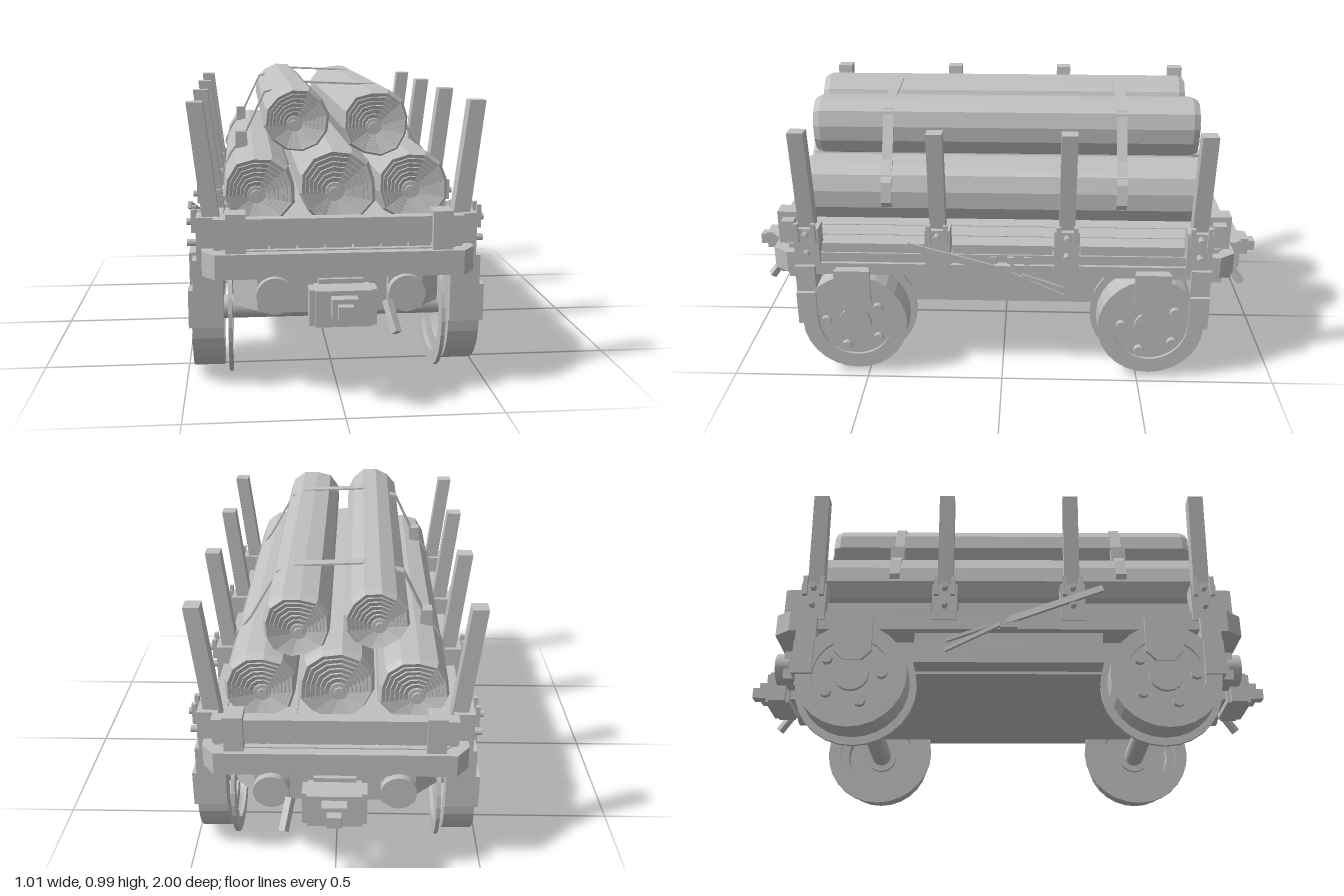
import * as THREE from 'three';

const grey = new THREE.MeshStandardMaterial({ color: 0xc0c0c0 });
grey.name = 'plain grey';

export function createModel() {
  const model = new THREE.Group();
  model.name = 'logWagon';

  const add = (name, geometry, x = 0, y = 0, z = 0) => {
    const m = new THREE.Mesh(geometry, grey);
    m.name = name;
    m.position.set(x, y, z);
    model.add(m);
    return m;
  };
  // box from its limits
  const box = (name, x0, x1, y0, y1, z0, z1) =>
    add(name, new THREE.BoxGeometry(Math.abs(x1 - x0), y1 - y0, Math.abs(z1 - z0)),
      (x0 + x1) / 2, (y0 + y1) / 2, (z0 + z1) / 2);
  // rod with its axis along x or z
  const rod = (name, axis, r, len, x, y, z, sides = 20) => {
    const g = new THREE.CylinderGeometry(r, r, len, sides);
    if (axis === 'x') g.rotateZ(Math.PI / 2); else g.rotateX(Math.PI / 2);
    return add(name, g, x, y, z);
  };
  // square bar between two points
  const bar = (name, a, b, w, d) => {
    const p = new THREE.Vector3(...a), q = new THREE.Vector3(...b);
    const m = add(name, new THREE.BoxGeometry(w, p.distanceTo(q), d));
    m.position.copy(p).lerp(q, 0.5);
    m.quaternion.setFromUnitVectors(new THREE.Vector3(0, 1, 0), q.sub(p).normalize());
    return m;
  };
  // rectangle with cut corners, extruded upward
  const slab = (name, hx, hz, cx, cz, y0, y1, hole) => {
    const s = new THREE.Shape([[hx, hz - cz], [hx - cx, hz], [cx - hx, hz], [-hx, hz - cz],
      [-hx, cz - hz], [cx - hx, -hz], [hx - cx, -hz], [hx, cz - hz]].map(p => new THREE.Vector2(...p)));
    if (hole) {
      const [a, b] = hole;
      s.holes.push(new THREE.Path([[a, b], [a, -b], [-a, -b], [-a, b]].map(p => new THREE.Vector2(...p))));
    }
    const g = new THREE.ExtrudeGeometry(s, { depth: y1 - y0, bevelEnabled: false });
    g.rotateX(-Math.PI / 2);
    return add(name, g, 0, y0, 0);
  };
  // ring around the x axis, closed section
  const ring = (name, rOut, rIn, x0, x1, y, z) => {
    const s = new THREE.Shape().absarc(0, 0, rOut, 0, Math.PI * 2, false);
    s.holes.push(new THREE.Path().absarc(0, 0, rIn, 0, Math.PI * 2, true));
    const g = new THREE.ExtrudeGeometry(s, { depth: Math.abs(x1 - x0), bevelEnabled: false, curveSegments: 14 });
    g.rotateY(Math.PI / 2);
    return add(name, g, Math.min(x0, x1), y, z);
  };

  // chassis
  slab('underframe', 0.34, 0.79, 0.1, 0.1, 0.275, 0.4);
  slab('bumperFrame', 0.437, 0.835, 0.042, 0.055, 0.4, 0.48, [0.33, 0.74]);
  for (let i = 0; i < 9; i++) {
    const x = -0.356 + i * 0.089;
    box('deckPlank', x - 0.042, x + 0.042, 0.47, 0.495, -0.78, 0.78);
  }
  slab('deckBase', 0.4, 0.8, 0.04, 0.04, 0.455, 0.484);

  for (const sx of [1, -1]) {
    box('sideSill', sx * 0.34, sx * 0.42, 0.285, 0.4, -0.335, 0.335);
    box('sideRail', sx * 0.42, sx * 0.45, 0.4, 0.445, -0.74, 0.74);
    for (const z of [-0.465, 0, 0.465]) {
      const h = z ? 0.185 : 0.18;
      box('sideBoard', sx * 0.375, sx * 0.43, 0.48, 0.515, z - h, z + h);
      box('sideLedge', sx * 0.34, sx * 0.375, 0.49, 0.505, z - h, z + h);
    }
    for (const z of [-0.09, -0.03, 0.03]) box('railClip', sx * 0.43, sx * 0.447, 0.44, 0.475, z - 0.012, z + 0.012);

    // stakes in bolted pockets
    for (const z of [-0.7, -0.23, 0.23, 0.7]) {
      box('stakePocket', sx * 0.385, sx * 0.455, 0.435, 0.58, z - 0.045, z + 0.045);
      const stake = new THREE.Shape([[0.37, 0.49], [0.425, 0.49], [0.477, 0.945], [0.425, 0.945]]
        .map(([x, y]) => new THREE.Vector2(sx * x, y)));
      add('stake', new THREE.ExtrudeGeometry(stake, { depth: 0.056, bevelEnabled: false }), 0, 0, z - 0.028);
      for (const y of [0.49, 0.56]) rod('pocketBolt', 'x', 0.012, 0.035, sx * 0.468, y, z, 6);
      for (const s of [-1, 1]) box('pocketLug', sx * 0.455, sx * 0.47, 0.53, 0.605, z + s * 0.03 - 0.008, z + s * 0.03 + 0.008);
    }

    // brake lever and link
    bar('brakeLever', [sx * 0.495, 0.54, 0.335], [sx * 0.46, 0.43, 0], 0.012, 0.025);
    bar('brakeLever', [sx * 0.46, 0.43, 0], [sx * 0.445, 0.32, -0.225], 0.012, 0.014);
    bar('brakeLink', [sx * 0.455, 0.41, -0.07], [sx * 0.45, 0.355, -0.22], 0.012, 0.012);
    box('leverBracket', sx * 0.42, sx * 0.465, 0.4, 0.45, -0.03, 0.03);

    // wheels with separate flange, tread and bolted web
    for (const sz of [1, -1]) {
      const z = sz * 0.54, y = 0.215;
      ring('wheelFlange', 0.215, 0.165, sx * 0.344, sx * 0.357, y, z);
      ring('wheelTread', 0.192, 0.135, sx * 0.372, sx * 0.475, y, z);
      rod('wheelWeb', 'x', 0.14, 0.045, sx * 0.442, y, z, 28);
      rod('wheelHub', 'x', 0.06, 0.075, sx * 0.442, y, z, 16);
      for (let i = 0; i < 5; i++) {
        const a = -Math.PI / 2 + 0.35 + i * Math.PI * 0.4;
        rod('wheelBolt', 'x', 0.02, 0.03, sx * 0.47, y + Math.sin(a) * 0.105, z + Math.cos(a) * 0.105, 8);
      }
      // axle hanger
      const hanger = new THREE.Shape([[-0.065, 0.43], [-0.065, 0.3], [-0.03, 0.265], [0.03, 0.265], [0.065, 0.3], [0.065, 0.43]]
        .map(p => new THREE.Vector2(...p)));
      const hg = new THREE.ExtrudeGeometry(hanger, { depth: 0.014, bevelEnabled: false });
      hg.rotateY(Math.PI / 2);
      add('axleHanger', hg, sx > 0 ? 0.472 : -0.486, 0, z);
      box('hangerTop', sx * 0.42, sx * 0.476, 0.4, 0.43, z - 0.06, z + 0.06);
      // guard ahead of the wheel
      box('wheelGuard', sx * 0.372, sx * 0.485, 0.215, 0.34, sz * 0.675, sz * 0.745);
      box('guardArm', sx * 0.372, sx * 0.47, 0.34, 0.44, sz * 0.675, sz * 0.745);
    }
  }
  for (const z of [-0.54, 0.54]) rod('axle', 'x', 0.04, 0.96, 0, 0.22, z, 16);

  // wagon ends
  for (const s of [1, -1]) {
    box('endBoard', -0.4, 0.4, 0.5, 0.585, s * 0.755, s * 0.8);
    for (const x of [-0.328, 0.328]) {
      box('endPost', x - 0.032, x + 0.032, 0.48, 0.605, s * 0.745, s * 0.822);
      const bx = Math.sign(x) * 0.208;
      box('bufferBlock', bx - 0.055, bx + 0.055, 0.29, 0.4, s * 0.78, s * 0.828);
      rod('buffer', 'z', 0.059, 0.05, bx, 0.35, s * 0.835, 24);
    }
    box('couplerMount', -0.07, 0.07, 0.29, 0.4, s * 0.78, s * 0.85);
    box('couplerBox', -0.088, 0.088, 0.27, 0.385, s * 0.84, s * 0.93);
    box('couplerCheek', -0.105, 0.105, 0.27, 0.385, s * 0.852, s * 0.915);
    box('couplerNeck', -0.04, 0.04, 0.305, 0.37, s * 0.93, s * 0.97);
    box('couplerTip', -0.023, 0.023, 0.315, 0.355, s * 0.97, s * 1.0);
    bar('releaseHandle', [0.145, 0.33, s * 0.86], [0.165, 0.245, s * 0.925], 0.024, 0.024);
  }

  // log with irregular bark, bevelled ends and stepped growth rings
  const log = (cx, cy, r, zFront, zBack, seed) => {
    const n = 12, rough = [], loops = [];
    let st = seed;
    const rnd = () => (st = (st * 16807) % 2147483647) / 2147483647;
    for (let i = 0; i < n; i++) rough.push(0.93 + 0.1 * rnd());
    const end = [[0, 0.006], [0.13, 0.006], [0.14, 0]];
    for (let k = 2; k < 8; k++) end.push([k * 0.115, -0.002 * k + 0.004], [k * 0.115 + 0.012, -0.002 * k - 0.002]);
    end.push([0.91, -0.012], [1, -0.035]);
    for (const [f, d] of end) loops.push([f, zFront + d]);
    for (const [f, d] of [...end].reverse()) loops.push([f, zBack - d]);
    const pos = [], idx = [];
    loops.forEach(([f, z]) => {
      for (let i = 0; i < n; i++) {
        const a = (i + 0.3) / n * Math.PI * 2, k = r * f * (1 + (rough[i] - 1) * Math.min(1, f * 1.2));
        pos.push(cx + Math.cos(a) * k - 0.014 * (1 - f), cy + Math.sin(a) * k - 0.014 * (1 - f), z);
      }
    });
    for (let j = 0; j < loops.length - 1; j++) for (let i = 0; i < n; i++) {
      const a = j * n + i, b = j * n + (i + 1) % n, c = a + n, d = b + n;
      idx.push(a, c, b, b, c, d);
    }
    let g = new THREE.BufferGeometry();
    g.setAttribute('position', new THREE.Float32BufferAttribute(pos, 3));
    g.setIndex(idx);
    g = g.toNonIndexed();
    g.computeVertexNormals();
    add('log', g);
  };
  log(-0.25, 0.66, 0.122, 0.73, -0.75, 11);
  log(0, 0.67, 0.131, 0.75, -0.74, 2027);
  log(0.247, 0.67, 0.123, 0.735, -0.75, 3301);
  log(-0.127, 0.885, 0.108, 0.725, -0.7, 48611);
  log(0.128, 0.873, 0.112, 0.71, -0.72, 7919);

  // tie straps over the load, with buckles
  const path = [[-0.345, 0.59], [-0.375, 0.67], [-0.345, 0.745], [-0.3, 0.8], [-0.225, 0.955], [-0.09, 0.988],
    [0.155, 0.978], [0.205, 0.955], [0.3, 0.79], [0.355, 0.72], [0.372, 0.65], [0.34, 0.59]];
  for (const z of [-0.425, 0.42]) {
    const outline = [...path, ...[...path].reverse().map(([x, y]) => [x * 0.985, y - 0.006])];
    const s = new THREE.Shape(outline.map(p => new THREE.Vector2(...p)));
    add('tieStrap', new THREE.ExtrudeGeometry(s, { depth: 0.038, bevelEnabled: false }), 0, 0, z - 0.019);
    box('strapBuckle', -0.325, -0.285, 0.76, 0.817, z - 0.027, z + 0.027);
  }
  return model;
}
